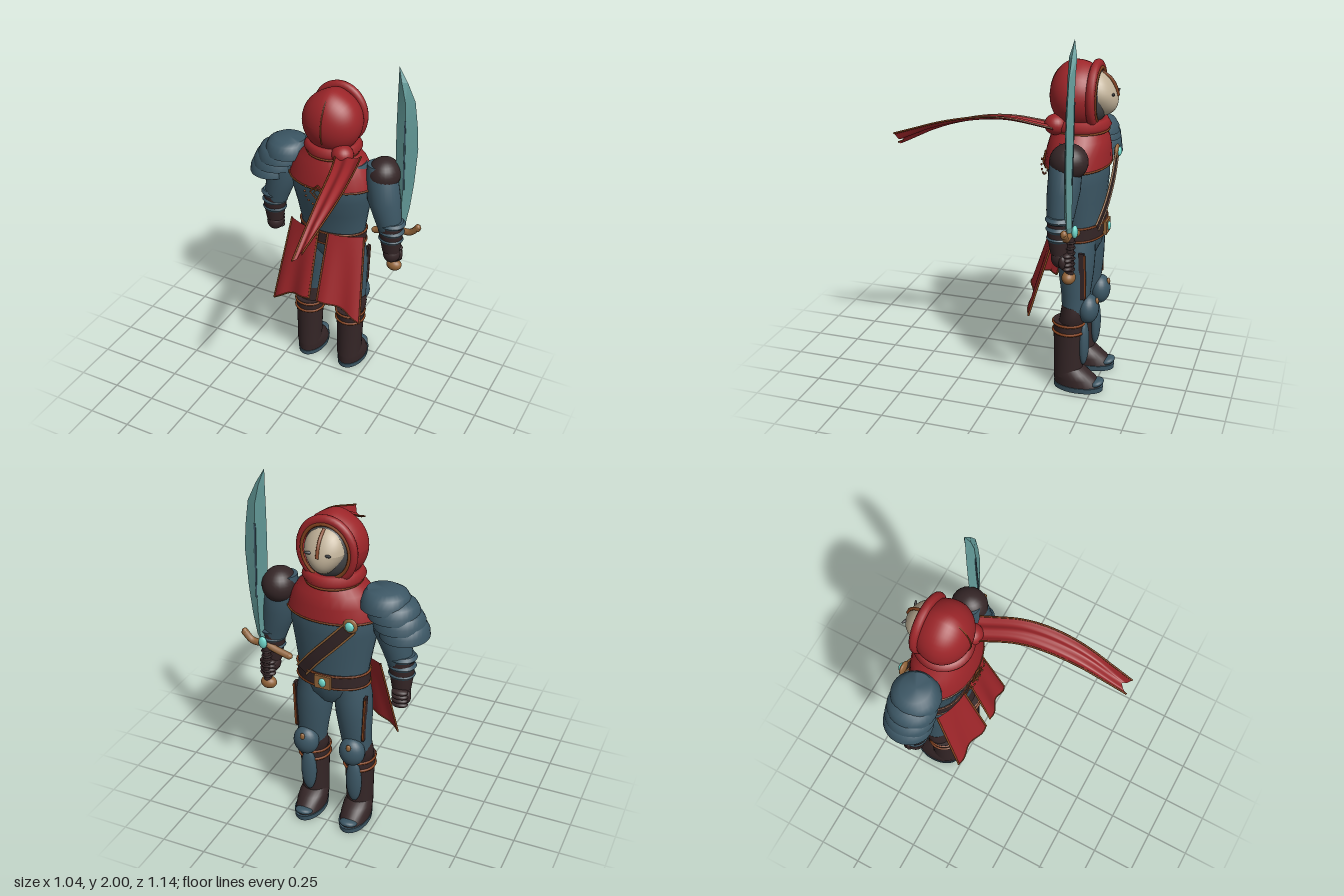
import * as THREE from 'three';
import { toCreasedNormals } from 'three/addons/utils/BufferGeometryUtils.js';

const mat = (name, color) => {
  const m = new THREE.MeshStandardMaterial({ color, side: THREE.DoubleSide });
  m.name = name;
  return m;
};

export function createModel() {
  const red = mat('red cloth', 0x9c2529), blue = mat('blue armour', 0x3c5765), dark = mat('dark leather', 0x352627);
  const tan = mat('tan brass', 0x93653a), trim = mat('brown trim', 0x85431f), teal = mat('teal blade', 0x67a09e);
  const ivory = mat('ivory mask', 0xbfb097), grey = mat('grey cowl', 0x464749), gem = mat('cyan gem', 0x6fd6ca);
  const model = new THREE.Group();
  const V = (p) => new THREE.Vector3(...p);

  const add = (name, geo, m, pos = [0, 0, 0], rot = [0, 0, 0], parent = model) => {
    const mesh = new THREE.Mesh(geo, m);
    mesh.name = name;
    mesh.position.set(...pos);
    mesh.rotation.set(...rot);
    parent.add(mesh);
    return mesh;
  };
  // Stacked ellipses, top row first: [y, centre x, centre z, radius x, radius z]
  const loft = (rows, sides = 28, crease = 0.9) => {
    const n = rows.length - 1;
    const g = new THREE.CylinderGeometry(1, 1, 1, sides, n);
    const p = g.attributes.position;
    for (let i = 0; i < p.count; i++) {
      const [y, cx, cz, rx, rz] = rows[Math.round((0.5 - p.getY(i)) * n)];
      p.setXYZ(i, cx + rx * p.getX(i), y, cz + rz * p.getZ(i));
    }
    return toCreasedNormals(g, crease);
  };
  const ball = (rx, ry, rz) => new THREE.SphereGeometry(1, 24, 16).scale(rx, ry, rz);
  const tube = (pts, r, n = 24) => new THREE.TubeGeometry(new THREE.CatmullRomCurve3(pts.map(V)), n, r, 6);
  const ring = (rx, rz, r) => new THREE.TorusGeometry(1, r / rx, 6, 40).rotateX(Math.PI / 2).scale(rx, rx, rz);
  // Cloth sheet from f(u, v) => [x, y, z]
  const sheet = (f, m = 12, n = 24) => {
    const g = new THREE.PlaneGeometry(1, 1, m, n);
    const p = g.attributes.position;
    for (let i = 0; i < p.count; i++) p.setXYZ(i, ...f(p.getX(i) + 0.5, 0.5 - p.getY(i)));
    g.computeVertexNormals();
    return g;
  };
  const edge = (f, axis) => Array.from({ length: 9 }, (_, i) => axis(i / 8)).map(([u, v]) => f(u, v));

  // Torso, belt and buckle
  add('torso', loft([[1.42, 0, -0.36, 0.2, 0.13], [1.3, 0, -0.36, 0.248, 0.163], [1.2, 0, -0.365, 0.237, 0.157],
    [1.1, 0, -0.375, 0.217, 0.139], [0.98, 0, -0.387, 0.197, 0.122], [0.9, 0, -0.387, 0.19, 0.118],
    [0.83, 0, -0.385, 0.16, 0.11], [0.77, 0, -0.385, 0.06, 0.08]]), blue);
  add('belt', loft([[0.97, 0, -0.387, 0.204, 0.132], [0.89, 0, -0.387, 0.2, 0.13]]), dark);
  for (const y of [0.967, 0.893]) add('beltEdge', ring(0.203, 0.132, 0.006), trim, [0, y, -0.387]);
  add('buckle', new THREE.BoxGeometry(0.09, 0.075, 0.025), tan, [0, 0.93, -0.52]);
  add('buckleGem', ball(0.02, 0.025, 0.012), gem, [0, 0.93, -0.533]);

  // Diagonal chest strap and brooch
  const strapPath = [[-0.16, 1.29, -0.53], [-0.06, 1.18, -0.535], [0.05, 1.06, -0.525], [0.13, 0.96, -0.5]];
  const strapCurve = new THREE.CatmullRomCurve3(strapPath.map(V));
  const strap = (u, v) => {
    const p = strapCurve.getPoint(v);
    return [p.x + (u - 0.5) * 0.05, p.y + (u - 0.5) * 0.045, p.z];
  };
  add('chestStrap', sheet(strap, 2), dark);
  for (const u of [0, 1]) add('strapEdge', tube(edge(strap, (t) => [u, t]), 0.006), tan);
  add('brooch', ball(0.04, 0.04, 0.014), tan, [-0.16, 1.3, -0.53]);
  add('broochGem', ball(0.024, 0.026, 0.014), gem, [-0.16, 1.3, -0.542]);

  // Mantle and scarf around the neck
  add('mantle', loft([[1.53, 0, -0.36, 0.1, 0.11], [1.47, 0, -0.36, 0.14, 0.135], [1.42, 0, -0.365, 0.195, 0.155],
    [1.36, 0, -0.362, 0.232, 0.168], [1.285, 0, -0.36, 0.256, 0.174]]), red);
  add('mantleTrim', ring(0.256, 0.174, 0.006), trim, [0, 1.285, -0.36]);
  add('neckScarf', ring(0.125, 0.125, 0.038), red, [0, 1.49, -0.365]);
  add('neckTrim', ring(0.145, 0.15, 0.007), trim, [0, 1.465, -0.365]);
  add('scarfKnot', ball(0.062, 0.055, 0.06), red, [0.105, 1.5, -0.26]);

  // Back ornament
  const ornament = new THREE.Group();
  ornament.name = 'backOrnament';
  ornament.position.set(0, 1.27, -0.178);
  model.add(ornament);
  add('diamondFrame', new THREE.TorusGeometry(0.048, 0.006, 4, 4), trim, [0, 0, 0], [0, 0, 0], ornament);
  add('diamondInner', new THREE.TorusGeometry(0.026, 0.004, 4, 4), tan, [0, 0, 0], [0, 0, 0], ornament);
  for (let i = 0; i < 11; i++) {
    const a = Math.PI * (0.9 + i * 0.12);
    add('stud', ball(0.007, 0.007, 0.005), trim, [Math.cos(a) * 0.08, Math.sin(a) * 0.08, 0], [0, 0, 0], ornament);
  }

  // Hood, open toward -z
  const hoodGeo = new THREE.SphereGeometry(1, 36, 24, 0, Math.PI * 2, 0.85, Math.PI - 0.85).rotateX(-Math.PI / 2);
  const hp = hoodGeo.attributes.position;
  for (let i = 0; i < hp.count; i++) {
    const x = hp.getX(i), y = hp.getY(i), z = hp.getZ(i);
    hp.setXYZ(i, x * 0.17, 1.64 + y * 0.175 + Math.max(0, y) * Math.exp(-x * x * 12) * 0.012, -0.345 + z * (z < 0 ? 0.17 : 0.142));
  }
  hoodGeo.computeVertexNormals();
  add('hood', hoodGeo, red);
  add('hoodRim', new THREE.TorusGeometry(0.142, 0.024, 10, 40).scale(1, 1.13, 1), red, [0, 1.645, -0.447]);
  add('hoodTrim', new THREE.TorusGeometry(0.128, 0.009, 6, 40).scale(1, 1.13, 1), trim, [0, 1.645, -0.468]);
  const seam = Array.from({ length: 9 }, (_, i) => {
    const a = -0.5 + i * 0.22;
    return [0, 1.64 + Math.sin(a) * 0.18, -0.345 + Math.cos(a) * 0.144];
  });
  add('hoodSeam', tube(seam, 0.004), trim);

  // Cowl and mask
  add('cowl', ball(0.127, 0.148, 0.11), grey, [0, 1.64, -0.415]);
  const maskGeo = new THREE.SphereGeometry(1, 28, 16, 0, Math.PI * 2, 0, 1.3).rotateX(-Math.PI / 2);
  const mp = maskGeo.attributes.position;
  for (let i = 0; i < mp.count; i++) {
    const y = mp.getY(i);
    mp.setXYZ(i, mp.getX(i) * (y < 0 ? 0.112 + y * 0.035 : 0.112), 1.655 + y * 0.122, -0.45 + mp.getZ(i) * (0.108 - y * 0.03));
  }
  maskGeo.computeVertexNormals();
  add('mask', maskGeo, ivory);
  add('maskRidge', tube([[0, 1.77, -0.475], [0, 1.74, -0.519], [0, 1.7, -0.546], [0, 1.65, -0.562]], 0.009), trim);
  for (const s of [-1, 1]) add('eyeSlit', ball(0.027, 0.008, 0.008), grey, [s * 0.047, 1.665, -0.544], [0, s * 0.4, s * 0.15]);

  // Streaming scarf tail
  const scarfL = new THREE.CatmullRomCurve3([[0.07, 1.49, -0.25], [0.16, 1.535, 0], [0.205, 1.495, 0.25], [0.24, 1.355, 0.57]].map(V));
  const scarfR = new THREE.CatmullRomCurve3([[0.21, 1.5, -0.27], [0.285, 1.557, -0.02], [0.315, 1.53, 0.23], [0.296, 1.42, 0.57]].map(V));
  const tail = (u, v) => {
    const p = scarfL.getPoint(v).lerp(scarfR.getPoint(v), u);
    const notch = 0.045 * (1 - Math.abs(2 * u - 1)) * Math.max(0, v * 5 - 4);
    return [p.x, p.y + Math.cos(u * Math.PI * 4) * 0.008, p.z - notch];
  };
  add('scarfTail', sheet(tail, 16, 30), red);
  for (const u of [0, 1]) add('scarfTrim', tube(edge(tail, (t) => [u, t]), 0.005), trim);

  for (const s of [-1, 1]) {
    const side = s > 0 ? 'left' : 'right';
    // Skirt panel with trimmed edges
    const panel = (u, v) => {
      const bottom = 0.58 - 0.11 * u * u;
      const x = THREE.MathUtils.lerp(0.03 + u * 0.2, 0.025 + u * 0.255, v);
      const z = THREE.MathUtils.lerp(-0.25 - u * u * 0.06, -0.125 - u * 0.05, v) + Math.sin(u * 9) * 0.012 * v;
      return [s * x, THREE.MathUtils.lerp(0.975, bottom, v), z];
    };
    add(side + 'SkirtPanel', sheet(panel), red);
    for (const u of [0, 1]) add('panelTrim', tube(edge(panel, (t) => [u, t]), 0.006), trim);
    add('panelHem', tube(edge(panel, (t) => [t, 1]), 0.004), trim);

    // Leg
    const x = s * 0.135;
    add(side + 'Thigh', loft([[0.9, s * 0.1, -0.38, 0.09, 0.1], [0.8, s * 0.108, -0.382, 0.102, 0.106], [0.7, s * 0.116, -0.388, 0.1, 0.096],
      [0.58, s * 0.125, -0.392, 0.088, 0.08], [0.47, x, -0.39, 0.08, 0.068]]), blue);
    add(side + 'KneeWrap', loft([[0.51, x, -0.387, 0.08, 0.066], [0.46, x, -0.385, 0.089, 0.07], [0.42, x, -0.378, 0.084, 0.07], [0.38, x, -0.37, 0.07, 0.07]]), dark);
    add(side + 'KneeCap', ball(0.072, 0.083, 0.058), blue, [x, 0.49, -0.465]);
    add('kneeStud', ball(0.014, 0.02, 0.01), tan, [x, 0.54, -0.512]);
    add(side + 'ThighStrip', new THREE.BoxGeometry(0.014, 0.27, 0.03), dark, [s * 0.197, 0.7, -0.44], [0.03, 0, s * -0.04]);
    add('stripEdge', new THREE.BoxGeometry(0.01, 0.25, 0.008), trim, [s * 0.2, 0.7, -0.458], [0.03, 0, s * -0.04]);

    // Boot
    add(side + 'BootShaft', loft([[0.41, x, -0.36, 0.084, 0.087], [0.25, x, -0.36, 0.077, 0.082], [0.08, x, -0.36, 0.073, 0.08]]), dark);
    for (const y of [0.4, 0.35]) add('bootBand', ring(0.084, 0.087, 0.008), trim, [x, y, -0.36]);
    add(side + 'Foot', loft([[0.13, x, -0.365, 0.068, 0.08], [0.1, x, -0.38, 0.078, 0.1], [0.07, x, -0.4, 0.08, 0.12], [0.025, x, -0.418, 0.079, 0.135]]), dark);
    add(side + 'Sole', loft([[0.03, x, -0.42, 0.083, 0.141], [0, x, -0.42, 0.08, 0.138]]), blue);
    add('toeCap', ball(0.05, 0.022, 0.045), blue, [x, 0.045, -0.52], [0.3, 0, 0]);
    add('shinPlate', ball(0.045, 0.135, 0.03), blue, [x, 0.28, -0.444]);

    // Arm with banded bracer and fist
    add(side + 'Arm', loft([[1.43, s * 0.27, -0.37, 0.06, 0.06], [1.36, s * 0.295, -0.37, 0.088, 0.085], [1.22, s * 0.315, -0.365, 0.095, 0.085],
      [1.12, s * 0.342, -0.36, 0.08, 0.075], [1.04, s * 0.36, -0.36, 0.066, 0.062]]), blue);
    add(side + 'Bracer', loft([[1.1, s * 0.358, -0.36, 0.072, 0.068], [1, s * 0.37, -0.36, 0.066, 0.062], [0.9, s * 0.372, -0.365, 0.05, 0.048]]), dark);
    for (const y of [1.085, 1.035, 0.985]) {
      const r = 0.08 - (1.085 - y) * 0.08;
      add('bracerBand', loft([[y + 0.018, s * 0.368, -0.36, r - 0.012, r - 0.016], [y, s * 0.37, -0.36, r, r - 0.006], [y - 0.014, s * 0.37, -0.36, r - 0.01, r - 0.014]]), blue);
    }
    add(side + 'Hand', ball(0.05, 0.055, 0.055), dark, [s * 0.375, 0.875, -0.375]);
    for (let i = 0; i < 4; i++) add('finger', ball(0.045, 0.017, 0.03), dark, [s * 0.38, 0.9 - i * 0.024, -0.41]);
    add('thumb', ball(0.018, 0.035, 0.02), dark, [s * 0.415, 0.865, -0.39]);
  }

  // Shoulders: leather cap on the sword side, layered pauldron on the other
  add('shoulderCap', ball(0.092, 0.095, 0.1), dark, [0.3, 1.37, -0.385]);
  [[-0.285, 1.37, 0.13], [-0.33, 1.325, 0.135], [-0.36, 1.275, 0.135], [-0.388, 1.225, 0.128]].forEach(([cx, y, rx], i) => {
    const z = -0.375;
    add('pauldronPlate' + (i + 1), loft([[y + 0.09, cx + 0.01, z, rx * 0.68, 0.08], [y + 0.07, cx, z, rx * 0.85, 0.11],
      [y + 0.035, cx, z, rx * 0.97, 0.132], [y, cx, z, rx, 0.136]]), blue);
  });

  // Sword
  const edges = [[2, 0.343, 0.345], [1.92, 0.344, 0.395], [1.82, 0.344, 0.444], [1.68, 0.345, 0.465], [1.55, 0.348, 0.476],
    [1.34, 0.355, 0.466], [1.18, 0.365, 0.45], [1.06, 0.375, 0.43], [1.02, 0.38, 0.41]];
  add('blade', loft(edges.map(([y, a, b], i) => [y, (a + b) / 2, -0.415, (b - a) / 2, i ? 0.02 : 0.001]), 4, 0.2), teal);
  for (const s of [-1, 1]) add('fuller', new THREE.BoxGeometry(0.009, 0.42, 0.008), blue, [0.407, 1.5, -0.415 + s * 0.018], [0, 0, 0.03]);
  add('crossguard', tube([[0.24, 0.965, -0.42], [0.31, 0.985, -0.42], [0.385, 1.01, -0.42], [0.46, 1.015, -0.42], [0.51, 1.065, -0.42]], 0.019), tan);
  add('guardTip', ball(0.018, 0.024, 0.018), tan, [0.503, 1.055, -0.42]);
  add('guardTip', ball(0.02, 0.017, 0.018), tan, [0.245, 0.967, -0.42]);
  add('guardGem', ball(0.024, 0.035, 0.016), gem, [0.385, 1.03, -0.445]);
  add('grip', new THREE.CylinderGeometry(0.022, 0.022, 0.22, 14), dark, [0.378, 0.9, -0.42]);
  for (let i = 0; i < 6; i++) add('gripRing', ring(0.023, 0.023, 0.006), dark, [0.378, 0.82 + i * 0.03, -0.42]);
  add('pommel', ball(0.045, 0.035, 0.036), tan, [0.376, 0.77, -0.415]);
  return model;
}
